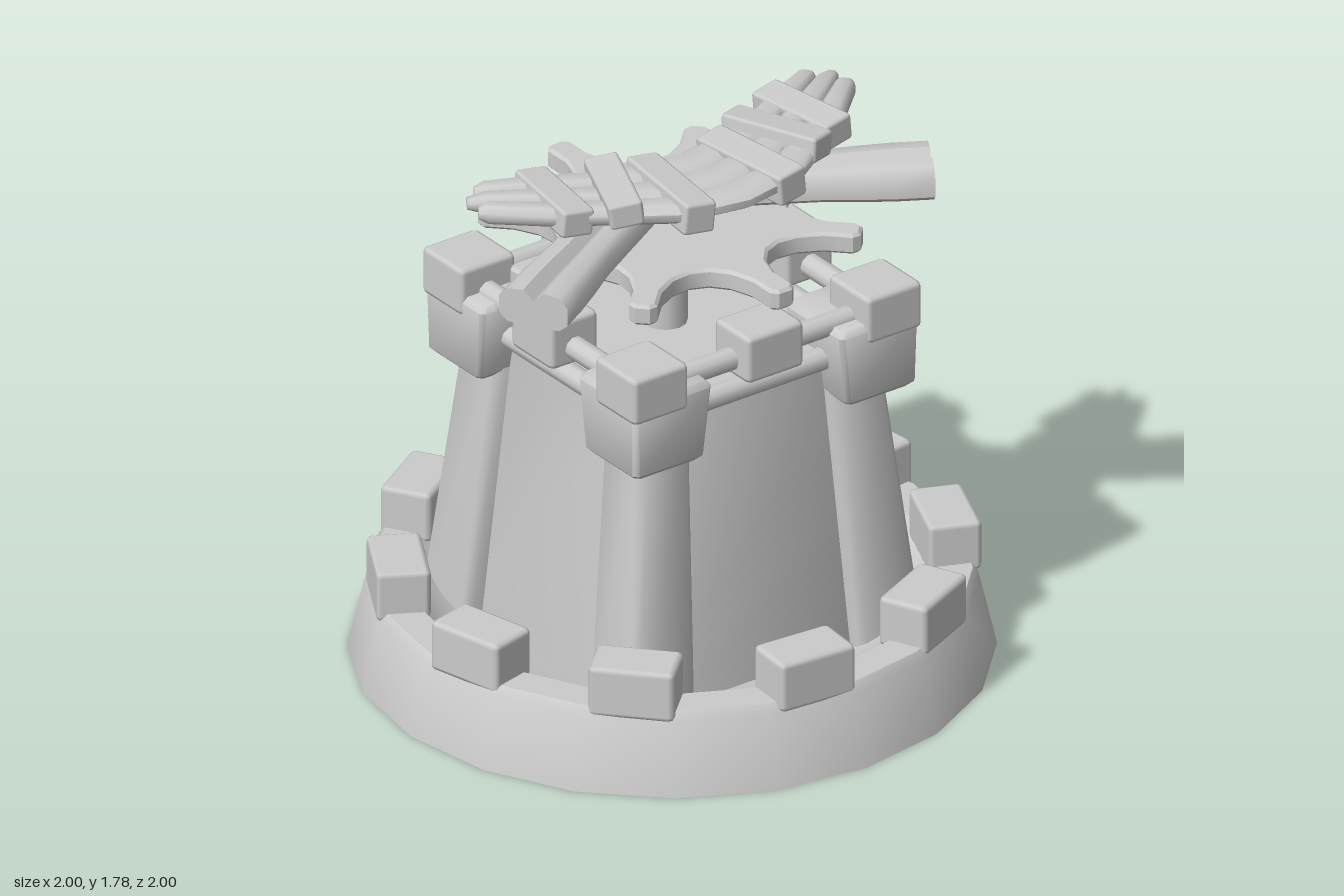
import * as THREE from 'three';
import { toCreasedNormals } from 'three/addons/utils/BufferGeometryUtils.js';
import { RoundedBoxGeometry } from 'three/addons/geometries/RoundedBoxGeometry.js';

const material = new THREE.MeshStandardMaterial({ color: 0xcccccc, side: THREE.DoubleSide });
const V = (x, y, z) => new THREE.Vector3(x, y, z);

function add(parent, name, geometry, x = 0, y = 0, z = 0) {
  const mesh = new THREE.Mesh(geometry, material);
  mesh.name = name;
  mesh.position.set(x, y, z);
  parent.add(mesh);
  return mesh;
}

// Box with a narrow bevel
const block = (w, h, d, r = 0.018) => new RoundedBoxGeometry(w, h, d, 1, r);

// Skin over equal-sized rings, closed at both ends
function loft(rings) {
  const p = [];
  const tri = (...vs) => vs.forEach(v => p.push(v.x, v.y, v.z));
  const n = rings[0].length, last = rings[rings.length - 1];
  for (let i = 0; i < rings.length - 1; i++) {
    for (let j = 0; j < n; j++) {
      const k = (j + 1) % n, a = rings[i], b = rings[i + 1];
      tri(a[j], a[k], b[k]);
      tri(a[j], b[k], b[j]);
    }
  }
  for (let j = 1; j < n - 1; j++) {
    tri(rings[0][0], rings[0][j + 1], rings[0][j]);
    tri(last[0], last[j], last[j + 1]);
  }
  const g = new THREE.BufferGeometry();
  g.setAttribute('position', new THREE.Float32BufferAttribute(p, 3));
  return toCreasedNormals(g, 0.9);
}

// Square ring with chamfered corners, spanning a..b on both x and z
function square(a, b, y, c = 0.015) {
  return [[b, b - c], [b, a + c], [b - c, a], [a + c, a], [a, a + c], [a, b - c], [a + c, b], [b - c, b]]
    .map(([x, z]) => V(x, y, z));
}

function lathe(points, segments) {
  const g = new THREE.LatheGeometry(points.map(([x, y]) => new THREE.Vector2(x, y)), segments);
  return toCreasedNormals(g, 0.6);
}

// Ring with a shallow bowl inside and stone blocks on the rim
function buildBase(root) {
  const base = new THREE.Group();
  base.name = 'base';
  root.add(base);
  add(base, 'baseRing', lathe([[0, 0.07], [0.79, 0.07], [0.83, 0.02], [0.88, 0], [1, 0], [0.945, 0.24],
    [0.925, 0.265], [0.815, 0.265], [0.8, 0.25], [0.72, 0.17], [0.6, 0.11], [0, 0.1]], 20));
  for (let i = 0; i < 10; i++) {
    const a = THREE.MathUtils.degToRad(-10 + 36 * i);
    const b = add(base, 'baseBlock', block(0.17, 0.17, 0.27), 0.855 * Math.cos(a), 0.32, 0.855 * Math.sin(a));
    b.rotation.y = -a + (i % 2 ? 0.06 : -0.06);
  }
}

function buildTower(root) {
  const tower = new THREE.Group();
  tower.name = 'tower';
  root.add(tower);
  add(tower, 'walls', loft([square(-0.5, 0.5, 0.08), square(-0.41, 0.41, 1.12)]));
  const leg = loft([square(0.315, 0.565, 0.08, 0.025), square(0.268, 0.47, 1.02, 0.025)]);
  const cap = loft([square(0.29, 0.52, 0.965), square(0.27, 0.54, 0.985),
    square(0.245, 0.545, 1.215), square(0.26, 0.53, 1.235)]);
  for (let i = 0; i < 4; i++) {
    const side = new THREE.Group();
    side.name = 'towerSide';
    side.rotation.y = i * Math.PI / 2;
    tower.add(side);
    add(side, 'cornerLeg', leg);
    add(side, 'cornerCap', cap);
    add(side, 'cornerMerlon', block(0.21, 0.16, 0.21), 0.447, 1.25, 0.447);
    add(side, 'middleMerlon', block(0.215, 0.16, 0.18), 0, 1.25, 0.45);
    for (const [y, z] of [[1.228, 0.45], [1.1, 0.425]]) {
      add(side, 'rail', new THREE.CylinderGeometry(0.038, 0.038, 0.7, 10), 0, y, z).rotation.z = Math.PI / 2;
    }
  }
}

// Eight-armed turntable on its post
function buildTurntable(root) {
  add(root, 'post', new THREE.CylinderGeometry(0.07, 0.07, 0.36, 12), 0, 1.28, -0.035);
  add(root, 'postBracket', block(0.18, 0.1, 0.27), 0, 1.395, -0.105);
  const shape = new THREE.Shape();
  const at = (a, u, v) => [u * Math.cos(a) - v * Math.sin(a), u * Math.sin(a) + v * Math.cos(a)];
  for (let i = 0; i < 8; i++) {
    const a = i * Math.PI / 4;
    const pts = [[0.48, -0.034], [0.57, -0.034], [0.585, -0.02], [0.585, 0.02], [0.57, 0.034], [0.48, 0.034]];
    pts.forEach(([u, v], k) => shape[i + k === 0 ? 'moveTo' : 'lineTo'](...at(a, u, v)));
    const n = a + Math.PI / 4;
    shape.bezierCurveTo(...at(a, 0.32, 0.06), ...at(n, 0.32, -0.06), ...at(n, 0.48, -0.034));
  }
  const g = new THREE.ExtrudeGeometry(shape, { depth: 0.05, curveSegments: 5, bevelSize: 0.01,
    bevelThickness: 0.01, bevelSegments: 1 });
  g.rotateX(-Math.PI / 2);
  add(root, 'turntable', toCreasedNormals(g, 0.5), 0, 1.435, -0.007);
}

// Two grooved beams meeting in a V, flaring towards the free ends
function buildBeams(root) {
  const half = [[0, 0.025], [0.03, 0.055], [0.075, 0.05], [0.1, 0.025], [0.1, -0.03], [0.075, -0.05], [0, -0.05]];
  const outline = [...half, ...half.slice(1, -1).reverse().map(([x, y]) => [-x, y])];
  const shape = new THREE.Shape(outline.map(([x, y]) => new THREE.Vector2(x, y)));
  const g = new THREE.ExtrudeGeometry(shape, { depth: 0.92, steps: 8, bevelEnabled: false });
  g.translate(0, 0, -0.04);
  const p = g.attributes.position;
  for (let i = 0; i < p.count; i++) {
    const flare = 1 + 0.14 * THREE.MathUtils.smoothstep(p.getZ(i), 0.5, 0.75);
    p.setX(i, p.getX(i) * flare);
    p.setY(i, p.getY(i) * flare);
  }
  for (const s of [-1, 1]) {
    add(root, 'beam', toCreasedNormals(g, 0.8), 0, 1.547, -0.13).rotation.y = s * Math.atan2(0.855, 0.495);
  }
}

// Flat crescent of sticks bound with straps
function buildBow(root) {
  const bow = new THREE.Group();
  bow.name = 'bow';
  root.add(bow);
  // x and z of the inner and the outer edge, from the middle to the tip
  const halfEdges = [[0, 0.04, 0, 0.4], [0.18, 0.01, 0.22, 0.36], [0.31, -0.03, 0.4, 0.24],
    [0.45, -0.11, 0.56, 0.13], [0.6, -0.17, 0.7, 0]];
  const edges = [...halfEdges.slice(1).reverse().map(([a, b, c, d]) => [-a, b, -c, d]), ...halfEdges];
  const across = (e, f, y) => V(e[0] + (e[2] - e[0]) * f, y, e[1] + (e[3] - e[1]) * f);
  const sticks = 3;
  for (let i = 0; i < sticks; i++) {
    const mid = (i + 0.5) / sticks;
    const section = [[1, 0.55], [1, -0.55], [0.4, -1], [-0.4, -1], [-1, -0.55], [-1, 0.55], [-0.4, 1], [0.4, 1]];
    const ring = (e, scale, dx) => section.map(([u, v]) => {
      const p = across(e, mid - 0.53 / sticks * scale * v, 1.715 + 0.03 * scale * u);
      return p.add(V(dx, 0, -Math.abs(dx) * 0.6));
    }).reverse();
    const tip = i === 1 ? 0.05 : 0.025;
    const rings = edges.map(e => ring(e, 1, 0));
    add(bow, 'stick', loft([ring(edges[0], 0.55, -tip), ...rings, ring(edges[8], 0.55, tip)]));
  }
  // Straps: mean x, mean z, length, turn, tilt, height, thickness
  const straps = [[0.155, 0.2, 0.38, 0.12, 0.1, 1.71, 0.105], [0.31, 0.12, 0.34, 0.4, -0.12, 1.735, 0.085],
    [0.475, 0.03, 0.33, 0.15, 0.1, 1.71, 0.09]];
  for (const s of [-1, 1]) {
    for (const [x, z, length, turn, tilt, y, thickness] of straps) {
      const strap = add(bow, 'strap', block(0.11, thickness, length, 0.012), s * x, y, z);
      strap.rotation.set(0, s * turn, s * tilt);
    }
  }
}

export function createModel() {
  const root = new THREE.Group();
  root.name = 'bowTower';
  buildBase(root);
  buildTower(root);
  buildTurntable(root);
  buildBeams(root);
  buildBow(root);
  return root;
}
